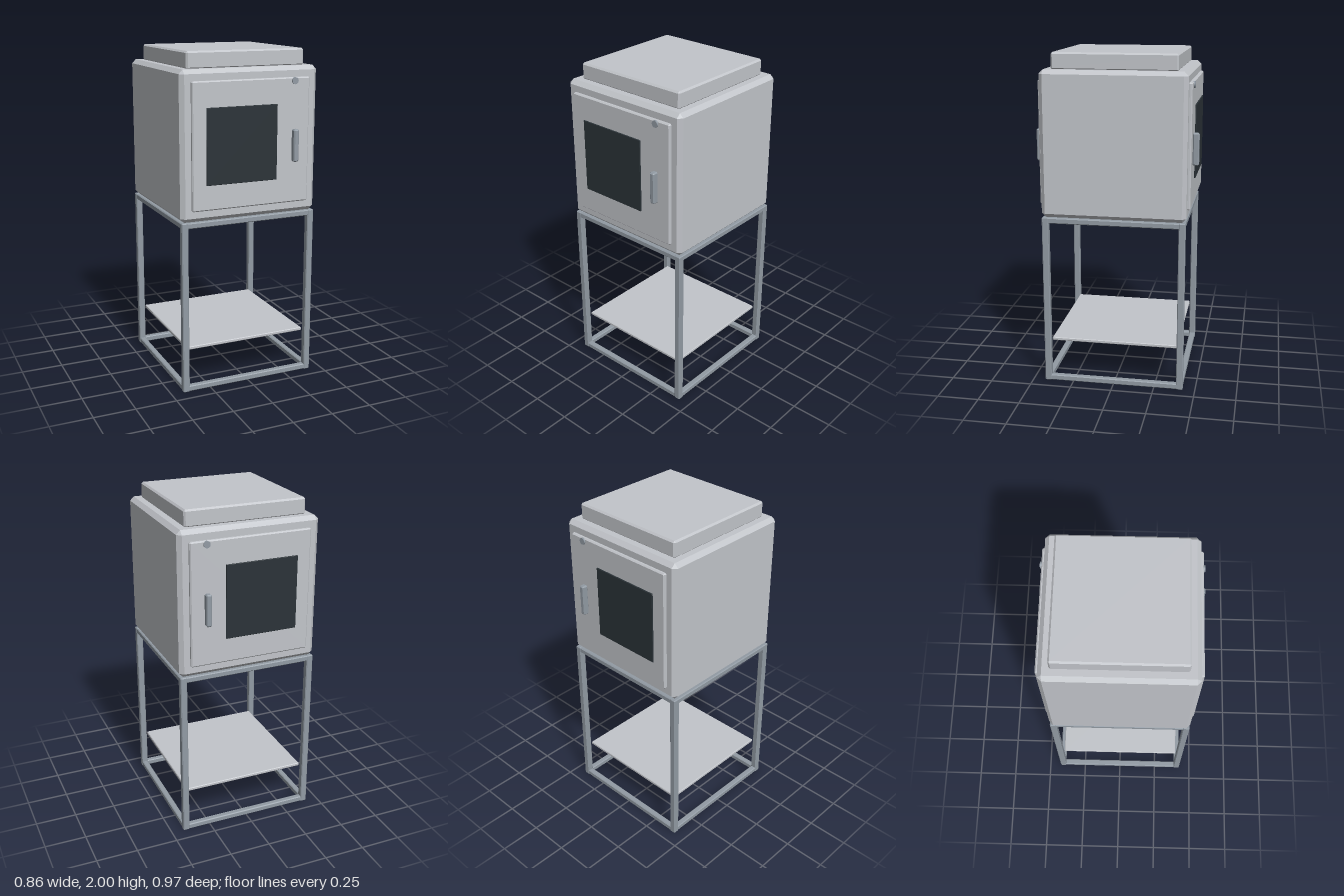
import * as THREE from 'three';
import { ConvexGeometry } from 'three/addons/geometries/ConvexGeometry.js';

export function createModel() {
  const model = new THREE.Group();
  model.name = 'cabinetOnStand';

  const mat = (name, color) => {
    const m = new THREE.MeshStandardMaterial({ color });
    m.name = name;
    return m;
  };
  const shell = mat('light grey metal', 0xc2c5ca);
  const steel = mat('steel', 0x929ba4);
  const glass = mat('dark glass', 0x2b3338);

  // Box between two corners, with every edge cut by a flat bevel
  const box = (name, material, [x0, y0, z0], [x1, y1, z1], bevel, parent = model) => {
    const h = [(x1 - x0) / 2, (y1 - y0) / 2, (z1 - z0) / 2];
    const points = [];
    for (let axis = 0; axis < 3; axis++)
      for (const sx of [-1, 1]) for (const sy of [-1, 1]) for (const sz of [-1, 1]) {
        const s = [sx, sy, sz];
        points.push(new THREE.Vector3(...h.map((v, i) => s[i] * (i === axis ? v : v - bevel))));
      }
    const mesh = new THREE.Mesh(new ConvexGeometry(points), material);
    mesh.position.set((x0 + x1) / 2, (y0 + y1) / 2, (z0 + z1) / 2);
    mesh.name = name;
    parent.add(mesh);
    return mesh;
  };

  // Cabinet and raised lid
  box('cabinet', shell, [-0.428, 1.042, -0.428], [0.428, 1.905, 0.428], 0.024);
  box('lid', shell, [-0.367, 1.9, -0.367], [0.367, 2, 0.367], 0.01);

  // Identical doors on front and back, hinged on the same side
  for (const s of [1, -1]) {
    const door = new THREE.Group();
    door.name = s > 0 ? 'frontDoor' : 'backDoor';
    const part = (name, material, x0, x1, y0, y1, a, b, bevel) =>
      box(name, material, [x0, y0, Math.min(s * a, s * b)], [x1, y1, Math.max(s * a, s * b)], bevel, door);
    part('doorPanel', shell, -0.367, 0.367, 1.108, 1.842, 0.42, 0.446, 0.007);
    part('window', glass, -0.283, 0.157, 1.255, 1.695, 0.445, 0.454, 0.002);
    part('handle', steel, 0.252, 0.286, 1.355, 1.545, 0.445, 0.483, 0.007);
    const lamp = new THREE.Mesh(new THREE.CylinderGeometry(0.02, 0.02, 0.012, 12), steel);
    lamp.rotation.x = Math.PI / 2;
    lamp.position.set(0.269, 1.822, s * 0.448);
    lamp.name = 'lockButton';
    door.add(lamp);
    model.add(door);
  }

  // Stand: four legs joined by rails at top and bottom
  const stand = new THREE.Group();
  stand.name = 'stand';
  const outer = 0.426, inner = 0.386;
  for (const sx of [-1, 1]) for (const sz of [-1, 1]) {
    const leg = box('leg', steel, [-0.02, 0, -0.02], [0.02, 1.042, 0.02], 0.005, stand);
    leg.position.x = sx * (outer - 0.02);
    leg.position.z = sz * (outer - 0.02);
  }
  for (const y of [0.002, 1.006]) for (const s of [-1, 1]) {
    const c = s * 0.406, w = 0.018;
    box('crossRail', steel, [-inner - 0.01, y, c - w], [inner + 0.01, y + 0.034, c + w], 0.005, stand);
    box('sideRail', steel, [c - w, y, -inner - 0.01], [c + w, y + 0.034, inner + 0.01], 0.005, stand);
  }
  model.add(stand);

  // Lower shelf
  box('shelf', shell, [-0.385, 0.25, -0.385], [0.385, 0.27, 0.385], 0.004);
  return model;
}
